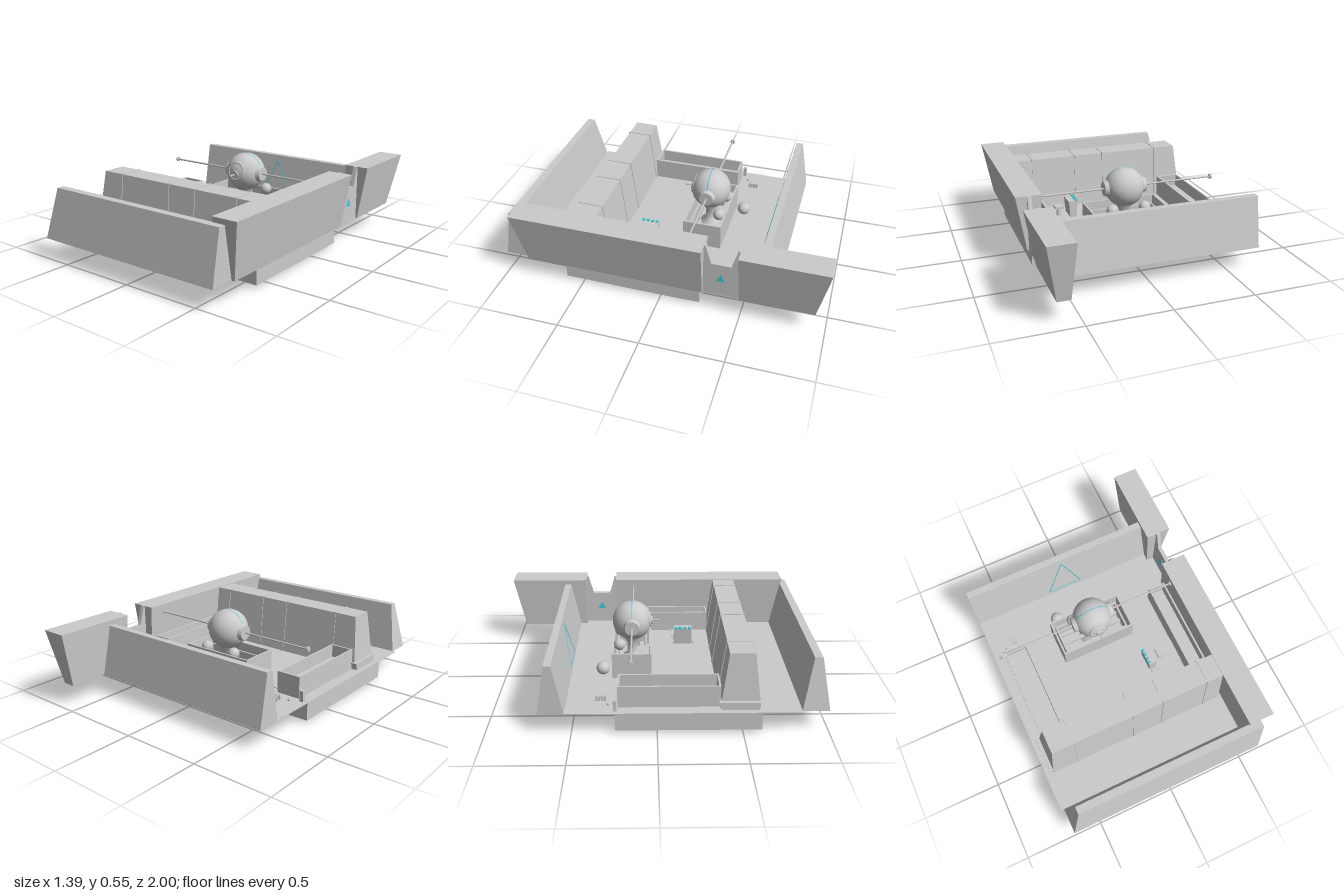
import * as THREE from 'three';

const grey = new THREE.MeshStandardMaterial({ color: 0xcccccc, flatShading: true, side: THREE.DoubleSide });
const smooth = new THREE.MeshStandardMaterial({ color: 0xcccccc, side: THREE.DoubleSide });
const cyan = new THREE.MeshStandardMaterial({ color: 0x44ccdd, side: THREE.DoubleSide });

export function createModel() {
  const root = new THREE.Group();

  const add = (name, geo, mat = grey, x = 0, y = 0, z = 0) => {
    const m = new THREE.Mesh(geo, mat);
    m.name = name;
    m.position.set(x, y, z);
    root.add(m);
    return m;
  };
  // Box given by its limits
  const box = (name, x0, x1, y0, y1, z0, z1, mat = grey) =>
    add(name, new THREE.BoxGeometry(x1 - x0, y1 - y0, z1 - z0), mat, (x0 + x1) / 2, (y0 + y1) / 2, (z0 + z1) / 2);
  // Tapered block: bottom and top rectangles are [x0, x1, z0, z1]
  const taper = (name, y0, y1, b, t) => {
    const g = new THREE.BoxGeometry(1, 1, 1);
    const p = g.attributes.position;
    for (let i = 0; i < p.count; i++) {
      const up = p.getY(i) > 0, r = up ? t : b;
      p.setXYZ(i, p.getX(i) < 0 ? r[0] : r[1], up ? y1 : y0, p.getZ(i) < 0 ? r[2] : r[3]);
    }
    g.computeVertexNormals();
    return add(name, g);
  };
  const points = list => list.map(p => new THREE.Vector2(...p));
  const rect = (C, x0, x1, z0, z1) => new C(points([[x0, -z0], [x1, -z0], [x1, -z1], [x0, -z1]]));
  const extrude = (shape, depth) => new THREE.ExtrudeGeometry(shape, { depth, bevelEnabled: false });
  // Upright frame: outer and hole limits are [x0, x1, z0, z1]
  const frame = (name, y0, y1, outer, hole) => {
    const s = rect(THREE.Shape, ...outer);
    s.holes.push(rect(THREE.Path, ...hole));
    add(name, extrude(s, y1 - y0), grey, 0, y0, 0).rotation.x = -Math.PI / 2;
  };
  // Open-topped box with walls of equal thickness
  const openBox = (name, x0, x1, y0, y1, z0, z1, w) =>
    frame(name, y0, y1, [x0, x1, z0, z1], [x0 + w, x1 - w, z0 + w, z1 - w]);

  // Floor and the lowered base with its recess underneath
  box('floor', -0.695, 0.6, 0.13, 0.134, -0.69, 0.84);
  frame('lowerBase', 0.02, 0.13, [-0.695, 0.605, -0.245, 0.61], [-0.27, 0.06, -0.03, 0.42]);
  box('basePlate', 0.4, 0.603, 0.016, 0.02, -0.17, 0.3);

  // Front and back walls, narrowing upward
  taper('frontWall', 0.13, 0.445, [-0.675, 0.615, 0.84, 1], [-0.612, 0.615, 0.895, 0.943]);
  taper('backWall', 0.13, 0.445, [-0.695, 0.6, -0.69, -0.535], [-0.695, 0.6, -0.635, -0.592]);
  box('underLightPanel', -0.09, 0.15, 0.127, 0.13, -0.685, -0.62, cyan);

  // Side wall, widening upward, in two lengths
  taper('sideWallFront', 0.13, 0.478, [0.555, 0.635, -0.27, 0.845], [0.535, 0.695, -0.275, 0.905]);
  taper('sideWallRear', 0.13, 0.478, [0.555, 0.635, -0.935, -0.49], [0.535, 0.695, -1, -0.487]);

  // Gate panel between the side walls, drawn in (-z, y)
  add('gate', extrude(new THREE.Shape(points([
    [0.265, 0.13], [0.265, 0.478], [0.285, 0.478], [0.32, 0.355],
    [0.44, 0.355], [0.475, 0.478], [0.495, 0.478], [0.495, 0.13],
  ])), 0.025), grey, 0.6, 0, 0).rotation.y = Math.PI / 2;
  add('gateMarker', extrude(new THREE.Shape(points([
    [0.355, 0.238], [0.405, 0.238], [0.38, 0.287],
  ])), 0.033), cyan, 0.596, 0, 0).rotation.y = Math.PI / 2;

  // Thin triangular outline on the inside of the back wall
  const tri = [[-0.17, 0.16, -0.541], [-0.05, 0.41, -0.585], [0.06, 0.16, -0.541]].map(p => new THREE.Vector3(...p));
  tri.forEach((a, i) => {
    const line = new THREE.LineCurve3(a, tri[(i + 1) % 3]);
    add('triangleEdge', new THREE.TubeGeometry(line, 1, 0.003, 5), cyan);
  });

  // Large hooded cabinet with ribs and a low end pod
  taper('cabinet', 0.13, 0.474, [-0.645, 0.535, 0.368, 0.605], [-0.61, 0.535, 0.412, 0.56]);
  for (const x of [-0.46, -0.07, 0.13, 0.43]) {
    taper('cabinetRib', 0.13, 0.478, [x - 0.015, x + 0.015, 0.364, 0.609], [x - 0.005, x + 0.005, 0.408, 0.564]);
  }
  taper('cabinetEndPod', 0, 0.18, [-0.665, -0.63, 0.41, 0.57], [-0.662, -0.54, 0.36, 0.6]);

  // Side benches with raised rims
  for (const [x0, x1] of [[-0.625, -0.47], [0.43, 0.545]]) {
    openBox('benchRim', x0, x1, 0.13, 0.27, -0.23, 0.37, 0.012);
    box('benchSeat', x0 + 0.012, x1 - 0.012, 0.13, 0.19, -0.218, 0.358);
  }
  box('benchPost', -0.67, -0.645, 0.13, 0.2, -0.255, -0.235);

  // Central tub with an inner frame, cross slats and side steps
  openBox('tub', -0.275, 0.215, 0.13, 0.3, -0.275, -0.03, 0.012);
  openBox('tubInnerFrame', -0.25, 0.19, 0.13, 0.25, -0.25, -0.055, 0.012);
  for (const z of [-0.21, -0.15, -0.09]) box('tubSlat', -0.24, 0.18, 0.15, 0.17, z - 0.012, z + 0.012);
  for (const x of [-0.37, 0.305]) box('tubStep', x - 0.09, x + 0.09, 0.13, 0.138, -0.19, -0.12);

  // Ball on a pedestal, with a front eye
  const bx = -0.025, by = 0.42, bz = -0.15;
  add('ball', new THREE.SphereGeometry(0.125, 32, 20), smooth, bx, by, bz);
  add('ballRing', new THREE.TorusGeometry(0.1225, 0.0035, 8, 48), cyan, bx, by, bz);
  add('pedestal', new THREE.LatheGeometry(
    points([[0.09, 0], [0.08, 0.03], [0.035, 0.06], [0.03, 0.13], [0.06, 0.19]]), 20), smooth, bx, 0.13, bz);
  add('eyeRing', new THREE.TorusGeometry(0.055, 0.009, 8, 28), smooth, bx, by + 0.02, bz + 0.106).rotation.x = -0.2;
  add('eyeLens', new THREE.CylinderGeometry(0.025, 0.03, 0.02, 20), smooth, bx, by, bz + 0.119).rotation.x = Math.PI / 2;
  add('eyePin', new THREE.CylinderGeometry(0.005, 0.005, 0.05, 8), smooth, bx, by, bz + 0.15).rotation.x = Math.PI / 2;

  // Mirrored ears, rods and small balls
  for (const s of [-1, 1]) {
    const end = s < 0 ? -0.625 : 0.535;
    add('ear', new THREE.CylinderGeometry(0.045, 0.055, 0.03, 24), smooth, bx + s * 0.123, by, bz).rotation.z = -s * Math.PI / 2;
    add('smallBall', new THREE.SphereGeometry(0.037, 18, 12), smooth, bx + s * 0.108, 0.3, -0.23);
    const rod = new THREE.CylinderGeometry(0.006, 0.006, Math.abs(end - bx), 8);
    add('rod', rod, smooth, (end + bx) / 2, by, bz).rotation.z = Math.PI / 2;
    add('rodCap', new THREE.CylinderGeometry(0.016, 0.016, 0.012, 12), smooth, end, by, bz).rotation.z = Math.PI / 2;
  }

  // Control desk with keys and a stool
  box('deskBase', 0.215, 0.43, 0.13, 0.142, 0.115, 0.27);
  taper('desk', 0.13, 0.25, [0.21, 0.25, 0.13, 0.25], [0.2, 0.26, 0.13, 0.25]);
  for (let i = 0; i < 4; i++) box('deskKey', 0.198, 0.215, 0.245, 0.258, 0.135 + i * 0.03, 0.152 + i * 0.03, cyan);
  add('stoolLeg', new THREE.CylinderGeometry(0.01, 0.02, 0.07, 10), smooth, 0.315, 0.165, 0.19);
  box('stoolSeat', 0.287, 0.343, 0.195, 0.21, 0.16, 0.22);

  // Small loose objects on the floor
  for (let i = 0; i < 4; i++) box('floorCrate', -0.55, -0.515, 0.13, 0.165, -0.365 + i * 0.017, -0.352 + i * 0.017);
  add('floorKnob', new THREE.SphereGeometry(0.01, 10, 8), smooth, -0.595, 0.14, -0.285);
  add('floorBall', new THREE.SphereGeometry(0.042, 20, 14), smooth, -0.205, 0.17, -0.335);

  return root;
}
